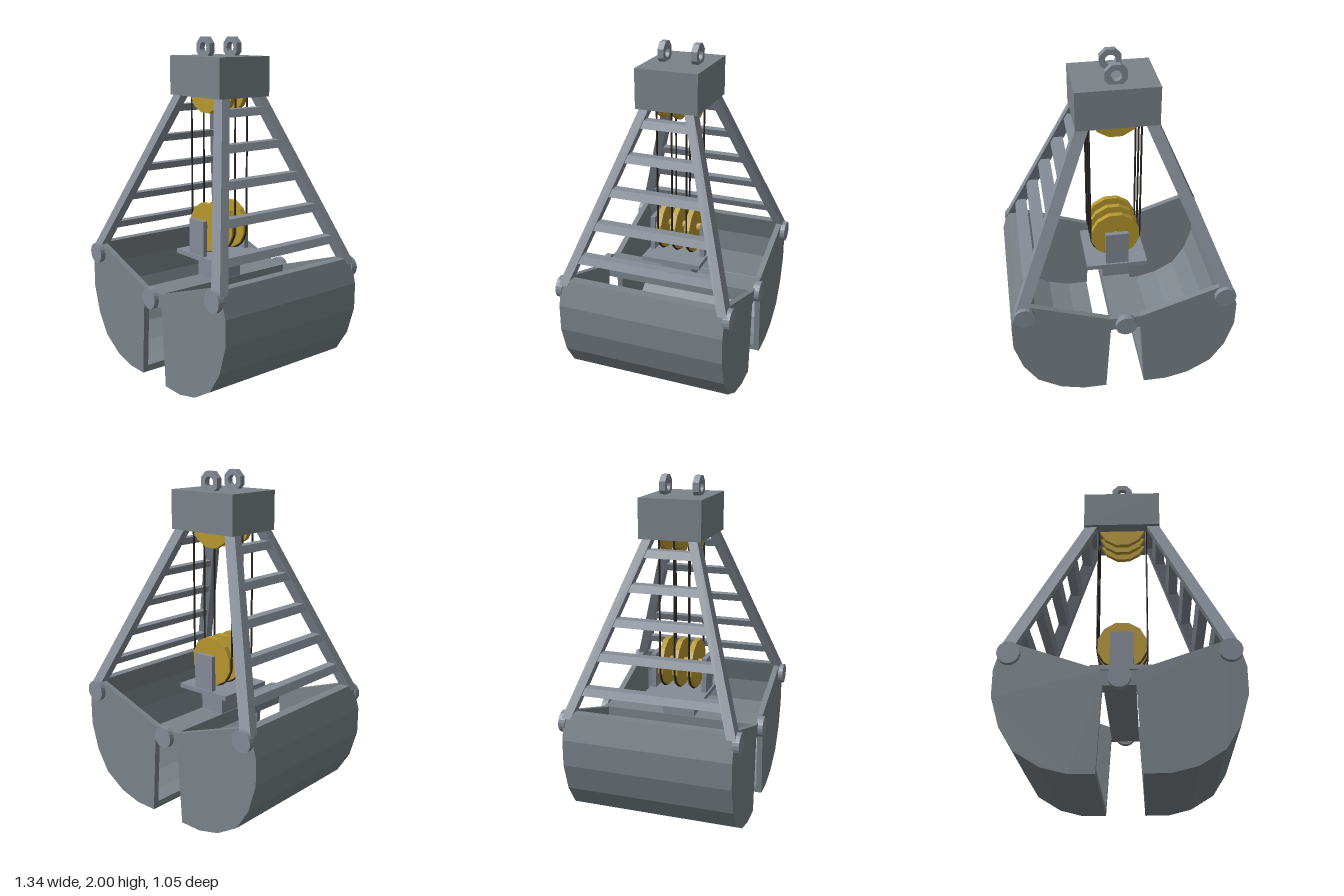
import * as THREE from 'three';

const mat = (name, color) => {
  const m = new THREE.MeshStandardMaterial({ color, flatShading: true });
  m.name = name;
  return m;
};

export function createModel() {
  const steel = mat('steel grey', 0x7b848a);
  const frame = mat('frame grey', 0x858c97);
  const gold = mat('sheave yellow', 0xb8982f);
  const ropeMat = mat('rope dark', 0x2b2723);
  const root = new THREE.Group();
  root.name = 'clamshellGrab';

  const add = (name, geo, material, x = 0, y = 0, z = 0) => {
    const m = new THREE.Mesh(geo, material);
    m.name = name;
    m.position.set(x, y, z);
    root.add(m);
    return m;
  };
  const box = (name, w, y0, y1, d, material, z = 0) =>
    add(name, new THREE.BoxGeometry(w, y1 - y0, d), material, 0, (y0 + y1) / 2, z);
  const disc = (r, depth, sides) =>
    new THREE.CylinderGeometry(r, r, depth, sides, 1, false, Math.PI / sides).rotateX(Math.PI / 2);
  // Extrude a profile, mirrored by side, between two z values
  const slab = (pts, side, z0, z1) => {
    const shape = new THREE.Shape(pts.map(([x, y]) => new THREE.Vector2(x * side, y)));
    return new THREE.ExtrudeGeometry(shape, { depth: z1 - z0, bevelEnabled: false }).translate(0, 0, z0);
  };

  // Leg centre line: x and z as functions of height
  const legX = (y) => 0.594 - 0.425 * (y - 0.72);
  const legZ = (y) => 0.47 - 0.356 * (y - 0.72);

  // Head block with two lifting eyes
  box('headBlock', 0.47, 1.66, 1.89, 0.37, steel);
  const eye = new THREE.Shape();
  for (let i = 0; i < 8; i++) {
    const a = Math.PI / 8 + (i * Math.PI) / 4;
    eye[i ? 'lineTo' : 'moveTo'](0.067 * Math.cos(a), 0.067 * Math.sin(a));
  }
  const hole = new THREE.Path();
  hole.absarc(0, 0, 0.031, 0, Math.PI * 2, true);
  eye.holes.push(hole);
  const eyeGeo = new THREE.ExtrudeGeometry(eye, { depth: 0.036, bevelEnabled: false, curveSegments: 10 });
  for (const z of [-0.1, 0.1]) add('liftingEye', eyeGeo, frame, 0, 1.938, z - 0.018);

  // Clamshell halves
  const outer = [[0.63, 0.72], [0.672, 0.57], [0.672, 0.415], [0.623, 0.25], [0.54, 0.12],
    [0.4, 0.035], [0.26, 0], [0.12, 0]];
  const inner = [[0.12, 0.04], [0.25, 0.04], [0.385, 0.075], [0.512, 0.15], [0.588, 0.27],
    [0.632, 0.42], [0.632, 0.565], [0.575, 0.72]];
  const endPlate = [...outer, [0.09, 0.47], [0, 0.47], [0, 0.555], [0.09, 0.555], [0.57, 0.72]];
  for (const s of [-1, 1]) {
    add('bucketShell', slab([...outer, ...inner], s, -0.46, 0.46), steel);
    add('bucketEndPlate', slab(endPlate, s, 0.46, 0.495), steel);
    add('bucketEndPlate', slab(endPlate, s, -0.495, -0.46), steel);

    // Sloping legs, sheared so that their ends stay level
    for (const t of [-1, 1]) {
      const leg = new THREE.BoxGeometry(0.075, 1.06, 0.055);
      const p = leg.attributes.position;
      for (let i = 0; i < p.count; i++) {
        const y = p.getY(i) + 1.22;
        p.setXYZ(i, p.getX(i) + s * legX(y), y, p.getZ(i) + t * legZ(y));
      }
      add('leg', leg, frame);
    }

    // Ladder rungs between the legs, following the slope
    for (let k = 0; k < 5; k++) {
      const y0 = 0.837 + k * 0.186;
      const rung = new THREE.BoxGeometry(0.055, 0.043, 2);
      const p = rung.attributes.position;
      for (let i = 0; i < p.count; i++) {
        const y = p.getY(i) + y0;
        p.setXYZ(i, p.getX(i) + s * legX(y), y, p.getZ(i) * legZ(y));
      }
      add('crossRung', rung, frame);
    }
  }

  // Hinge beam and pins
  box('hingeBeam', 0.17, 0.47, 0.555, 0.98, steel);
  for (const t of [-1, 1])
    for (const [x, y] of [[0, 0.513], [-0.592, 0.656], [0.592, 0.656]])
      add('hingePin', disc(0.063, 0.04, 20), frame, x, y, t * 0.505);

  // Lower pulley carriage
  box('carriagePost', 0.16, 0.55, 0.69, 0.2, frame);
  box('carriagePlate', 0.37, 0.688, 0.716, 0.37, frame);
  for (const t of [-1, 1]) box('axleCheek', 0.138, 0.71, 0.93, 0.028, frame, t * 0.16);
  add('lowerAxle', disc(0.024, 0.3, 10), gold, 0, 0.882, 0);

  // Sheaves and the ropes looping under the lower set
  const sheave = disc(0.15, 0.032, 12);
  const fall = new THREE.CylinderGeometry(0.006, 0.006, 0.81, 6);
  const loop = new THREE.TorusGeometry(0.15, 0.006, 6, 12, Math.PI).rotateZ(Math.PI);
  for (const z of [-0.09, 0, 0.09]) {
    add('lowerSheave', sheave, gold, 0, 0.875, z);
    add('upperSheave', sheave, gold, 0, 1.708, z);
    add('ropeLoop', loop, ropeMat, 0, 0.875, z);
    for (const s of [-1, 1]) add('ropeFall', fall, ropeMat, s * 0.15, 1.28, z);
  }
  return root;
}
